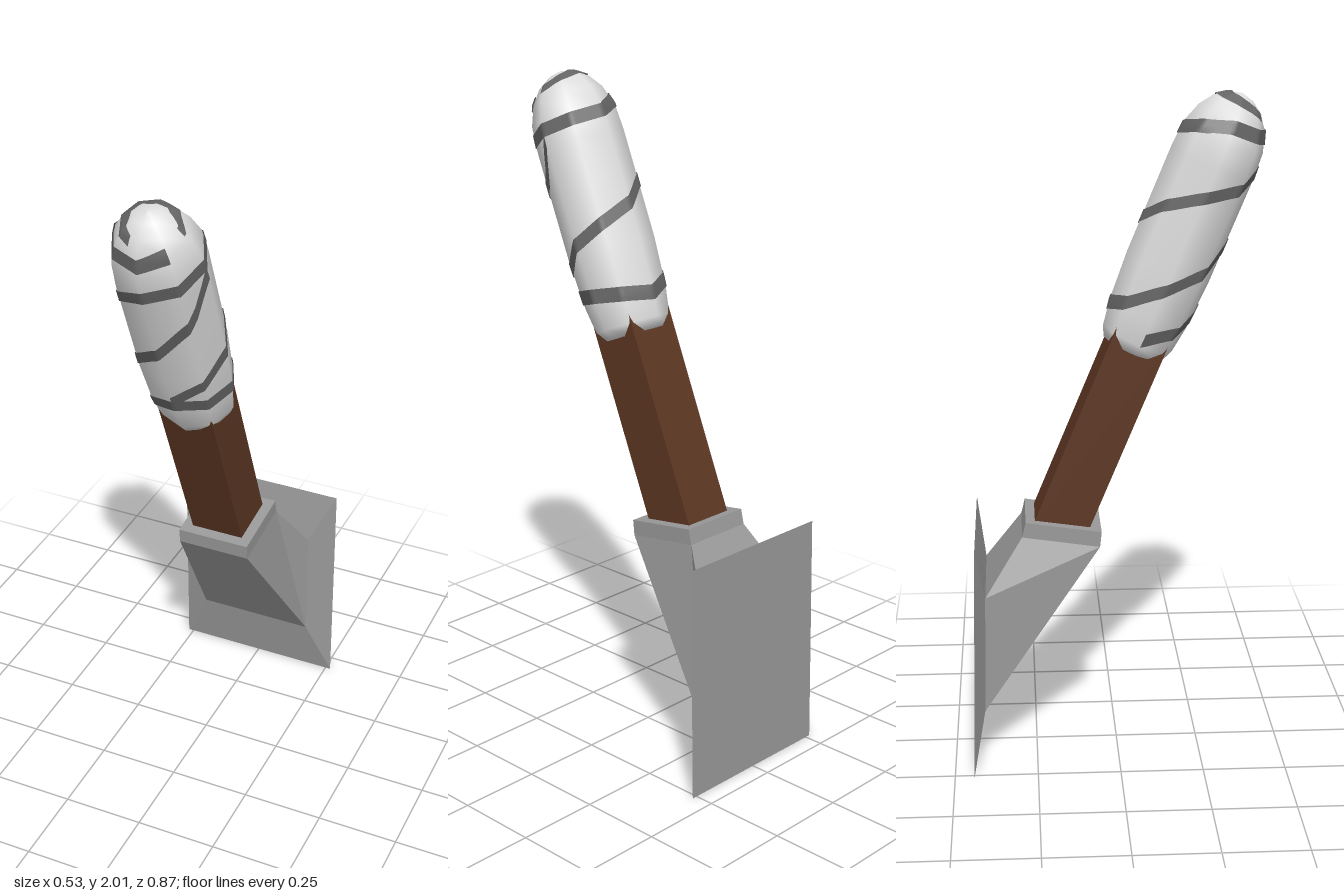
import * as THREE from 'three';

const DEG = Math.PI / 180;

const metal = new THREE.MeshStandardMaterial({ color: 0x999999, flatShading: true });
metal.name = 'grey metal';
const wood = new THREE.MeshStandardMaterial({ color: 0x5c3622 });
wood.name = 'brown wood';
const wrap = new THREE.MeshStandardMaterial({ color: 0xdedede });
wrap.name = 'pale wrap';
const stripe = new THREE.MeshStandardMaterial({ color: 0x656565, side: THREE.DoubleSide });
stripe.name = 'dark stripe';

function addMesh(parent, name, geometry, material) {
  const mesh = new THREE.Mesh(geometry, material);
  mesh.name = name;
  parent.add(mesh);
  return mesh;
}

// Four-cornered sections joined into a closed solid.
// Each section: half width, front/lower edge (y, z), back/upper edge (y, z).
function loft(sections) {
  const loops = sections.map(([w, y0, z0, y1, z1]) =>
    [[-w, y0, z0], [w, y0, z0], [w, y1, z1], [-w, y1, z1]]);
  const pos = [];
  const quad = (a, b, c, d) => pos.push(...a, ...b, ...c, ...a, ...c, ...d);
  for (let i = 0; i < loops.length - 1; i++) {
    for (let j = 0; j < 4; j++) {
      const k = (j + 1) % 4;
      quad(loops[i][j], loops[i][k], loops[i + 1][k], loops[i + 1][j]);
    }
  }
  quad(...loops[0].slice().reverse());
  quad(...loops[loops.length - 1]);
  const g = new THREE.BufferGeometry();
  g.setAttribute('position', new THREE.Float32BufferAttribute(pos, 3));
  g.computeVertexNormals();
  return g;
}

// Grip profile: radius, height along the handle
const PROFILE = [
  [0, -0.015], [0.1, -0.012], [0.115, 0.02], [0.127, 0.1], [0.135, 0.25], [0.135, 0.58],
  [0.13, 0.66], [0.108, 0.72], [0.078, 0.76], [0.04, 0.785], [0, 0.795],
];
const DEPTH = 0.96;

function interpolate(points, key, x, value) {
  for (let i = 1; i < points.length; i++) {
    const a = points[i - 1], b = points[i];
    if (x <= b[key]) {
      return a[value] + (b[value] - a[value]) * (x - a[key]) / (b[key] - a[key]);
    }
  }
  return points[points.length - 1][value];
}

// Point just above the eight-sided grip
function gripPoint(angle, t) {
  const within = (((angle % 45) + 45) % 45) - 22.5;
  const facet = Math.cos(22.5 * DEG) / Math.cos(within * DEG);
  const r = interpolate(PROFILE, 1, t, 0) * facet + 0.003;
  const lift = t > 0.66 ? 0.003 : 0;
  return [r * Math.sin(angle * DEG), t + lift, r * Math.cos(angle * DEG) * DEPTH];
}

// Ribbon that follows a path of (angle, height) over the grip
function ribbon(path, halfWidth) {
  const pos = [], index = [], across = 4;
  const start = path[0][0], end = path[path.length - 1][0];
  const steps = Math.round((end - start) / 5);
  for (let i = 0; i <= steps; i++) {
    const angle = start + (end - start) * i / steps;
    const t = interpolate(path, 0, angle, 1);
    for (let j = 0; j <= across; j++) {
      pos.push(...gripPoint(angle, t + halfWidth * (2 * j / across - 1)));
      if (i < steps && j < across) {
        const a = i * (across + 1) + j, b = a + across + 1;
        index.push(a, b, b + 1, a, b + 1, a + 1);
      }
    }
  }
  const g = new THREE.BufferGeometry();
  g.setAttribute('position', new THREE.Float32BufferAttribute(pos, 3));
  g.setIndex(index);
  g.computeVertexNormals();
  return g;
}

export function createModel() {
  const model = new THREE.Group();
  model.name = 'handTool';

  // Bevelled plate, slanting socket and collar
  addMesh(model, 'plateHead', loft([
    [0.267, 0, -0.442, 0.715, -0.428],
    [0.185, 0.18, -0.407, 0.545, -0.4],
    [0.115, 0.675, -0.055, 0.71, -0.288],
    [0.115, 0.722, -0.05, 0.755, -0.277],
  ]), metal);

  // Handle leaning forward
  const handle = new THREE.Group();
  handle.name = 'handle';
  handle.position.set(0, 1.27, 0.055);
  handle.rotation.x = 22.6 * DEG;
  model.add(handle);

  const shaft = addMesh(handle, 'shaft', new THREE.BoxGeometry(0.166, 0.69, 0.162), wood);
  shaft.position.y = -0.295;

  const gripGeometry = new THREE.LatheGeometry(
    PROFILE.map(([r, y]) => new THREE.Vector2(r, y)), 8);
  addMesh(handle, 'grip', gripGeometry, wrap).scale.z = DEPTH;

  // Winding stripes
  const stripes = [
    [[[-90, 0.04], [0, 0.14], [90, 0.125], [180, 0.09], [225, 0.12], [270, 0.2],
      [360, 0.37], [420, 0.5], [450, 0.6]], 0.022],
    [[[0, 0.16], [90, 0.28], [180, 0.36], [270, 0.49], [360, 0.6], [450, 0.63],
      [540, 0.64], [630, 0.7], [720, 0.7], [765, 0.72]], 0.02],
    [[[-275, 0.745], [-240, 0.762], [-180, 0.776], [-100, 0.772], [-60, 0.765],
      [-20, 0.75]], 0.012],
  ];
  stripes.forEach(([path, halfWidth], i) =>
    addMesh(handle, 'gripStripe' + (i + 1), ribbon(path, halfWidth), stripe));

  return model;
}
